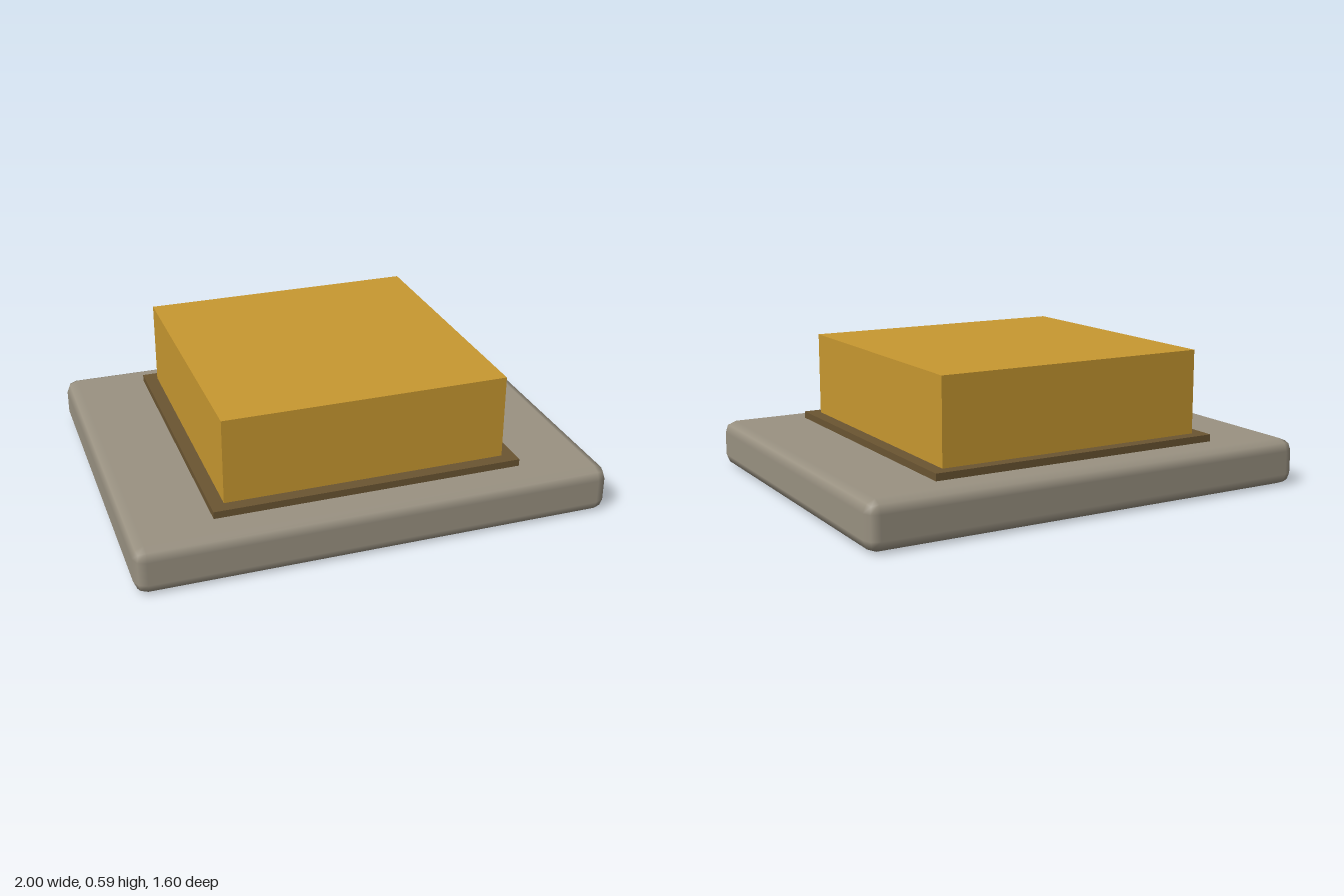
import * as THREE from 'three';
import { RoundedBoxGeometry } from 'three/addons/geometries/RoundedBoxGeometry.js';

export function createModel() {
  const model = new THREE.Group();
  model.name = 'pedestalBlock';

  // Stacks a centred part with its underside at height y
  const addPart = (name, geometry, color, y, height) => {
    const mesh = new THREE.Mesh(geometry, new THREE.MeshStandardMaterial({ color }));
    mesh.name = name;
    mesh.position.y = y + height / 2;
    model.add(mesh);
  };

  // Stone slab with softly bevelled edges
  addPart('baseSlab', new RoundedBoxGeometry(2, 0.2, 1.6, 1, 0.05), 0x9a9282, 0, 0.2);

  // Thin dark plinth between slab and block
  addPart('plinth', new THREE.BoxGeometry(1.308, 0.03, 1.304), 0x6b5532, 0.2, 0.03);

  // Golden block on top
  addPart('block', new THREE.BoxGeometry(1.196, 0.36, 1.196), 0xc89830, 0.23, 0.36);

  return model;
}
